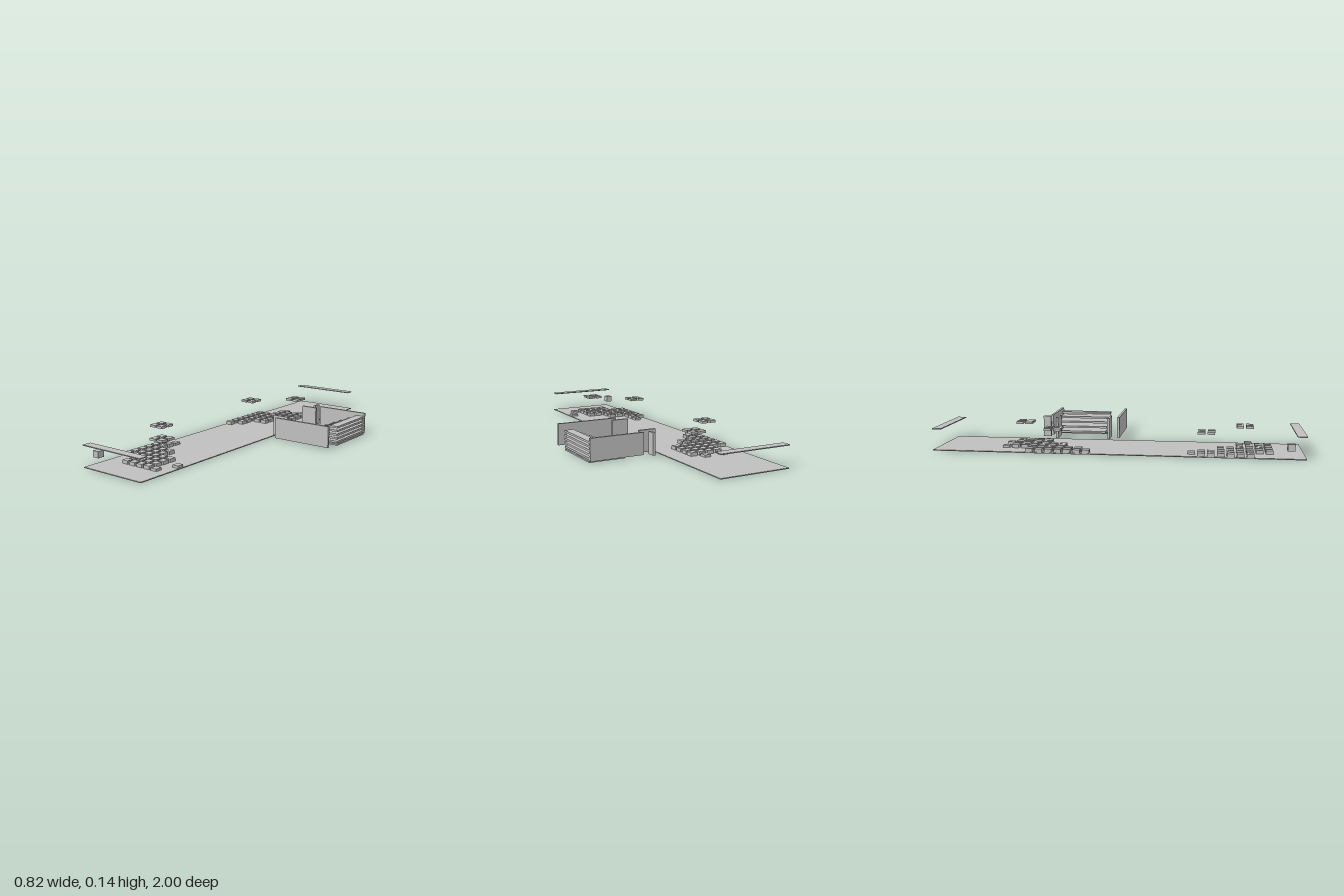
import * as THREE from 'three';

export function createModel() {
  const model = new THREE.Group();
  const gray = new THREE.MeshStandardMaterial({ color: 0xc0c0c0 });
  gray.name = 'plain gray';

  // Box given by its extents on each axis
  function block(name, x0, x1, y0, y1, z0, z1, parent = model) {
    const mesh = new THREE.Mesh(new THREE.BoxGeometry(x1 - x0, y1 - y0, z1 - z0), gray);
    mesh.position.set((x0 + x1) / 2, (y0 + y1) / 2, (z0 + z1) / 2);
    mesh.name = name;
    parent.add(mesh);
  }

  // Long floor with a raised strip across each end
  block('floor', -0.41, 0, 0, 0.005, -1, 1);
  block('frontStrip', -0.41, 0, 0.118, 0.123, 0.95, 1);
  block('backStrip', -0.41, 0, 0.118, 0.123, -1, -0.95);

  // Thin walls around the stairwell
  block('frontWall', 0.05, 0.41, 0.008, 0.13, -0.045, -0.031);
  block('backWall', 0.1, 0.41, 0.008, 0.13, -0.453, -0.439);
  block('frontShortWall', 0, 0.1, 0.008, 0.13, -0.097, -0.083);
  block('backShortWall', 0, 0.1, 0.008, 0.13, -0.403, -0.389);
  block('wallStub', 0.05, 0.065, 0.008, 0.13, -0.488, -0.443);

  // Open stairs rising toward +x, every slab ending at the same edge
  const stairs = new THREE.Group();
  stairs.name = 'stairs';
  model.add(stairs);
  block('stairBase', 0.205, 0.41, 0, 0.008, -0.44, -0.131, stairs);
  for (let i = 0; i < 5; i++) {
    const top = 0.025 + i * 0.0215;
    block('tread', 0.153 + i * 0.0515, 0.41, top - 0.011, top, -0.44, -0.131, stairs);
  }

  // Seats on a regular grid of columns (x) and rows (z)
  const seats = new THREE.Group();
  seats.name = 'seats';
  model.add(seats);
  const pitch = 0.0515, half = 0.0195;
  function seat(col, z, y0, y1) {
    const x = -0.386 + col * pitch;
    block('seat', x - half, x + half, y0, y1, z - half, z + half, seats);
  }

  // Occupied columns of each row, listed by increasing z
  const frontRows = ['1', '01', '01', '0123', '0123', '012345', '0123457', '2345', '23456'];
  const backRows = ['24', '2345', '2345', '012345', '012345', '0123', '0123', '01', '01', '0'];
  for (const [rows, zStart] of [[frontRows, 0.406], [backRows, -0.618]]) {
    rows.forEach((cols, r) => {
      for (const c of cols) {
        const low = r === 0 || +c > 5;
        seat(+c, zStart + r * pitch, 0.005, low ? 0.018 : 0.024);
      }
    });
  }

  // Raised clusters of four, and one block near the front corner
  for (const [col, z] of [[0, 0.459], [4, 0.666], [0, -0.361], [4, -0.567]]) {
    for (const c of [0, 1]) for (const r of [0, 1]) seat(col + c, z + r * pitch, 0.122, 0.135);
  }
  block('cornerBlock', -0.405, -0.367, 0.044, 0.08, 0.902, 0.941);

  return model;
}
